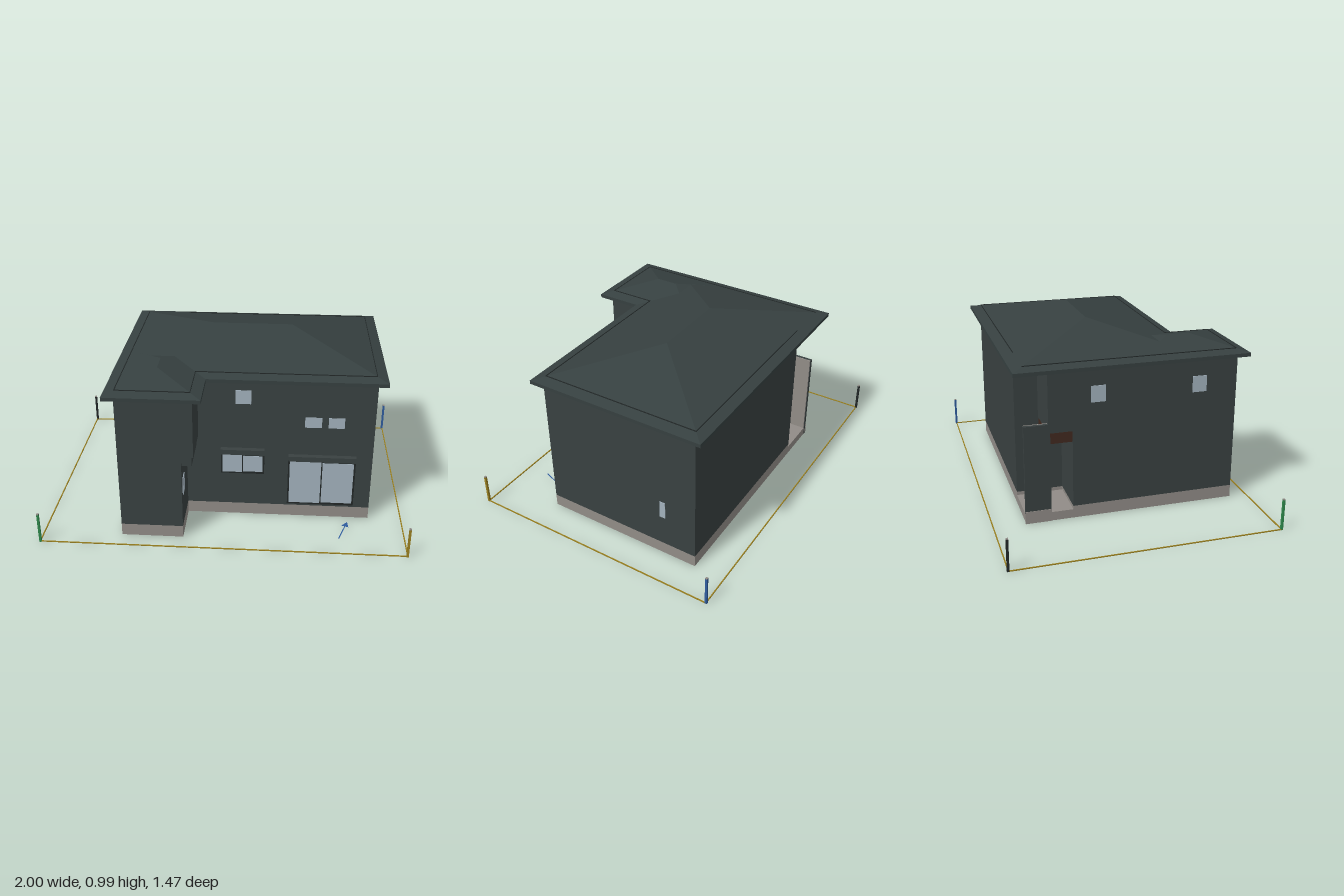
import * as THREE from 'three';

const mat = (name, color, double = false) => {
  const m = new THREE.MeshStandardMaterial({ color });
  m.name = name;
  if (double) m.side = THREE.DoubleSide;
  return m;
};

export function createModel() {
  const house = new THREE.Group();
  house.name = 'house';
  const wall = mat('wallSlate', 0x394141);
  const roof = mat('roofSlate', 0x364040);
  const stone = mat('foundationGrey', 0x918c87);
  const glass = mat('windowGlass', 0xa3b2bd);
  const wood = mat('darkWood', 0x42291f);
  const trim = mat('darkTrim', 0x222828);
  const gold = mat('boundaryGold', 0x9a8020);
  const green = mat('stakeGreen', 0x2f8a4c);
  const blue = mat('markerBlue', 0x2f5c9e, true);

  const add = (name, geometry, material) => {
    const mesh = new THREE.Mesh(geometry, material);
    mesh.name = name;
    house.add(mesh);
    return mesh;
  };
  // Box given by its low and high limits on each axis
  const box = (name, m, x0, x1, y0, y1, z0, z1) => {
    const mesh = add(name, new THREE.BoxGeometry(x1 - x0, y1 - y0, z1 - z0), m);
    mesh.position.set((x0 + x1) / 2, (y0 + y1) / 2, (z0 + z1) / 2);
    return mesh;
  };
  // Floor plan outline (x, z) raised from y0 to y1, with an optional hole
  const plan = (name, m, pts, y0, y1, hole) => {
    const toV = (list) => list.map(([x, z]) => new THREE.Vector2(x, -z));
    const shape = new THREE.Shape(toV(pts));
    if (hole) shape.holes.push(new THREE.Path(toV(hole)));
    const g = new THREE.ExtrudeGeometry(shape, { depth: y1 - y0, bevelEnabled: false });
    g.rotateX(-Math.PI / 2);
    g.translate(0, y0, 0);
    return add(name, g, m);
  };
  // L-shaped outline: wing at the front, porch notch at the back; i insets it
  const outline = (wingX, notchZ, i = 0) => [
    [-0.56 + i, 0.63 - i], [wingX - i, 0.63 - i], [wingX - i, 0.375 - i], [0.81 - i, 0.375 - i],
    [0.81 - i, -0.55 + i], [-0.31 + i, -0.55 + i], [-0.31 + i, notchZ + i], [-0.56 + i, notchZ + i],
  ];

  // Foundation ring, ground floor and upper floor
  plan('foundation', stone, outline(-0.22, -0.29), 0, 0.07, outline(-0.22, -0.29, 0.035));
  plan('floorUnderside', wood, outline(-0.22, -0.29, 0.03), 0.055, 0.069);
  plan('groundFloorWalls', wall, outline(-0.22, -0.29), 0.07, 0.505);
  plan('upperFloorWalls', wall, outline(-0.155, -0.42), 0.505, 0.846);
  box('wingOverhangBand', wall, -0.23, -0.165, 0.447, 0.505, 0.37, 0.62);

  // Entrance porch
  box('porchSlab', stone, -0.56, -0.24, 0, 0.05, -0.55, -0.22);
  box('porchBeam', wood, -0.558, -0.31, 0.445, 0.504, -0.418, -0.28);
  box('porchSoffit', wood, -0.56, -0.31, 0.838, 0.846, -0.55, -0.42);
  box('porchScreen', wall, -0.56, -0.542, 0.0, 0.555, -0.551, -0.41);
  box('porchScreenLining', stone, -0.543, -0.535, 0.0, 0.555, -0.548, -0.413);
  box('porchScreenBase', stone, -0.563, -0.555, 0, 0.07, -0.553, -0.41);

  // Hip roof: flat fascia below four sloping faces meeting at a ridge
  const hipRoof = (name, x0, x1, z0, z1, a, b, top) => {
    const e = 0.865;
    box(name + 'Fascia', roof, x0, x1, 0.845, e, z0, z1);
    const v = [[x0, e, z1], [x1, e, z1], [x1, e, z0], [x0, e, z0],
      [a[0], top, a[1]], [b[0], top, b[1]]];
    const alongX = a[1] === b[1];
    const f = alongX
      ? [0, 1, 5, 0, 5, 4, 1, 2, 5, 2, 3, 4, 2, 4, 5, 3, 0, 4]
      : [0, 1, 4, 1, 2, 5, 1, 5, 4, 2, 3, 5, 3, 0, 4, 3, 4, 5];
    const g = new THREE.BufferGeometry();
    g.setAttribute('position', new THREE.Float32BufferAttribute(f.flatMap((i) => v[i]), 3));
    g.computeVertexNormals();
    add(name, g, roof);
  };
  hipRoof('mainRoof', -0.615, 0.86, -0.605, 0.42, [-0.1, -0.0925], [0.347, -0.0925], 0.99);
  hipRoof('wingRoof', -0.614, -0.105, 0.045, 0.68, [-0.36, 0.425], [-0.36, 0.3], 0.928);

  // Thin snow guards set in from the eaves
  const guards = [
    [-0.16, 0.8, 0.36, 0.36], [0.8, 0.8, -0.545, 0.36], [-0.3, 0.8, -0.545, -0.545],
    [-0.555, -0.555, -0.545, 0.62], [-0.555, -0.165, 0.62, 0.62], [-0.165, -0.165, 0.36, 0.62],
  ];
  for (const [x0, x1, z0, z1] of guards) {
    box('snowGuard', trim, x0 - 0.002, x1 + 0.002, 0.874, 0.883, z0 - 0.002, z1 + 0.002);
  }

  // Shuttered front windows: frame, hood and two sliding panes
  const sliding = (x0, x1, y0, y1) => {
    const mid = (x0 + x1) / 2;
    box('windowFrame', trim, x0, x1, y0, y1 - 0.03, 0.37, 0.383);
    box('shutterHood', wall, x0, x1, y1 - 0.03, y1, 0.37, 0.405);
    box('leftPane', glass, x0 + 0.009, mid - 0.003, y0 + 0.01, y1 - 0.04, 0.38, 0.386);
    box('rightPane', glass, mid + 0.004, x1 - 0.01, y0 + 0.014, y1 - 0.046, 0.38, 0.385);
  };
  sliding(-0.03, 0.213, 0.272, 0.432);
  sliding(0.346, 0.72, 0.085, 0.402);

  // Small windows on the front, then on the sides
  for (const [x0, x1, y0, y1] of [
    [0.05, 0.136, 0.705, 0.785], [0.43, 0.522, 0.573, 0.634], [0.558, 0.645, 0.573, 0.634],
  ]) box('frontWindow', glass, x0, x1, y0, y1, 0.373, 0.379);
  for (const [x, y0, y1, z0, z1] of [
    [0.81, 0.253, 0.355, -0.37, -0.337], [-0.22, 0.253, 0.355, 0.53, 0.598],
    [-0.56, 0.655, 0.745, -0.19, -0.11], [-0.56, 0.655, 0.745, 0.375, 0.455],
  ]) box('sideWindow', glass, x - 0.004, x + 0.004, y0, y1, z0, z1);

  // Plot boundary lines and corner stakes
  for (const s of [-1, 1]) {
    box('boundaryLine', gold, -1, 1, 0, 0.005, s * 0.727 - 0.003, s * 0.727 + 0.003);
    box('boundaryLine', gold, s * 0.996 - 0.003, s * 0.996 + 0.003, 0, 0.005, -0.73, 0.73);
  }
  for (const [x, z, m] of [[-1, 1, green], [1, 1, gold], [1, -1, blue], [-1, -1, trim]]) {
    const cx = x * 0.994, cz = z * 0.728;
    box('cornerStake', m, cx - 0.006, cx + 0.006, 0, 0.175, cz - 0.006, cz + 0.006);
    box('stakeCap', stone, cx - 0.006, cx + 0.006, 0.175, 0.18, cz - 0.006, cz + 0.006);
  }

  // Flat direction arrow on the ground
  const arrow = new THREE.Shape([
    [-0.003, 0], [0.003, 0], [0.003, 0.125], [0.021, 0.125], [0, 0.172], [-0.021, 0.125], [-0.003, 0.125],
  ].map(([x, y]) => new THREE.Vector2(x, y)));
  const arrowMesh = add('directionArrow', new THREE.ShapeGeometry(arrow).rotateX(-Math.PI / 2), blue);
  arrowMesh.position.set(0.635, 0.003, 0.593);
  arrowMesh.rotation.y = -0.33;

  return house;
}
